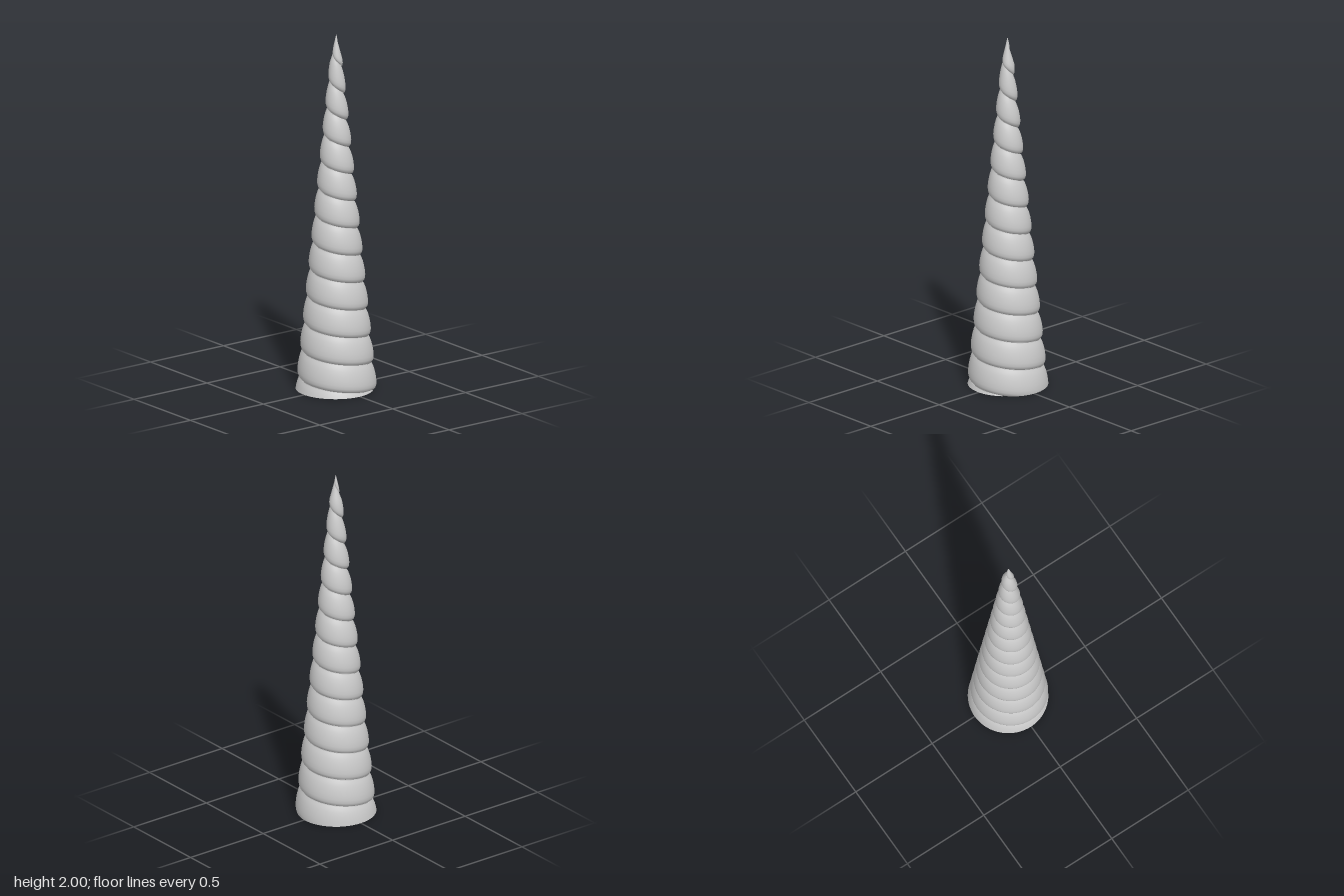
import * as THREE from 'three';

const HEIGHT = 2, PITCH = 0.152, STEPS = 64;
const START = -0.112 * Math.PI * 2; // angle where the spiral passes below the base
const INNER = 0.18;

// Bulging section of one coil: [fraction of pitch, radial offset]
const COIL = [
  [0, -0.026], [0.03, -0.015], [0.08, -0.007], [0.16, -0.002], [0.28, 0.001],
  [0.45, 0.001], [0.62, -0.001], [0.78, -0.005], [0.9, -0.01], [1, -0.016],
];

function coilOffset(t) {
  for (let i = 1; i < COIL.length; i++) {
    const [t0, r0] = COIL[i - 1], [t1, r1] = COIL[i];
    if (t <= t1) return r0 + (r1 - r0) * (t - t0) / (t1 - t0);
  }
  return COIL[COIL.length - 1][1];
}

// Outer radius: straight taper, shallower grooves near the top, pointed tip
function outerRadius(y, t) {
  const taper = 0.221 - 0.1 * y;
  const depth = Math.min(1, taper / 0.06);
  const tip = Math.pow(Math.min(1, Math.max(0, (HEIGHT - y) / 0.15)), 0.7);
  return (taper + coilOffset(t) * depth) * tip;
}

// Smooth grid surface; point(i, j) returns [angle, radius, y]
function gridSurface(name, nu, nv, point, material) {
  const positions = [], indices = [];
  for (let i = 0; i <= nu; i++) {
    for (let j = 0; j <= nv; j++) {
      const [a, r, y] = point(i, j);
      positions.push(Math.cos(a) * r, y, Math.sin(a) * r);
      if (i < nu && j < nv) {
        const p = i * (nv + 1) + j, q = p + nv + 1;
        indices.push(p, p + 1, q, p + 1, q + 1, q);
      }
    }
  }
  const geometry = new THREE.BufferGeometry();
  geometry.setAttribute('position', new THREE.Float32BufferAttribute(positions, 3));
  geometry.setIndex(indices);
  geometry.computeVertexNormals();
  const mesh = new THREE.Mesh(geometry, material);
  mesh.name = name;
  return mesh;
}

export function createModel() {
  const group = new THREE.Group();
  group.name = 'spiralHorn';
  const material = new THREE.MeshStandardMaterial({ color: 0xcccccc, side: THREE.DoubleSide });
  const angleAt = (i) => START + (i / STEPS) * Math.PI * 2;
  const coilBottom = (i) => -PITCH + (i / STEPS) * PITCH;

  // One continuous coil winding up to the tip, cut flat at the ground
  const steps = Math.floor((HEIGHT + PITCH) / PITCH * STEPS);
  group.add(gridSurface('spiralCoil', steps, COIL.length - 1, (i, j) => {
    const bottom = coilBottom(i);
    const lowest = Math.min(1, Math.max(0, -bottom / PITCH));
    const highest = Math.max(0, (HEIGHT - bottom) / PITCH);
    const t = Math.min(Math.max(COIL[j][0], lowest), highest);
    const y = bottom + t * PITCH;
    return [angleAt(i), outerRadius(y, t), y];
  }, material));

  // Flat rim under the wall
  group.add(gridSurface('baseRim', STEPS, 1, (i, j) => {
    const t = Math.min(1, Math.max(0, -coilBottom(i) / PITCH));
    return [angleAt(i), j ? outerRadius(0, t) : INNER, 0];
  }, material));

  // Hollow inside, tapering to a point
  group.add(gridSurface('innerWall', STEPS, 12, (i, j) => {
    const f = 1 - j / 12;
    return [angleAt(i), INNER * (1 - f), f * 1.75];
  }, material));

  return group;
}
